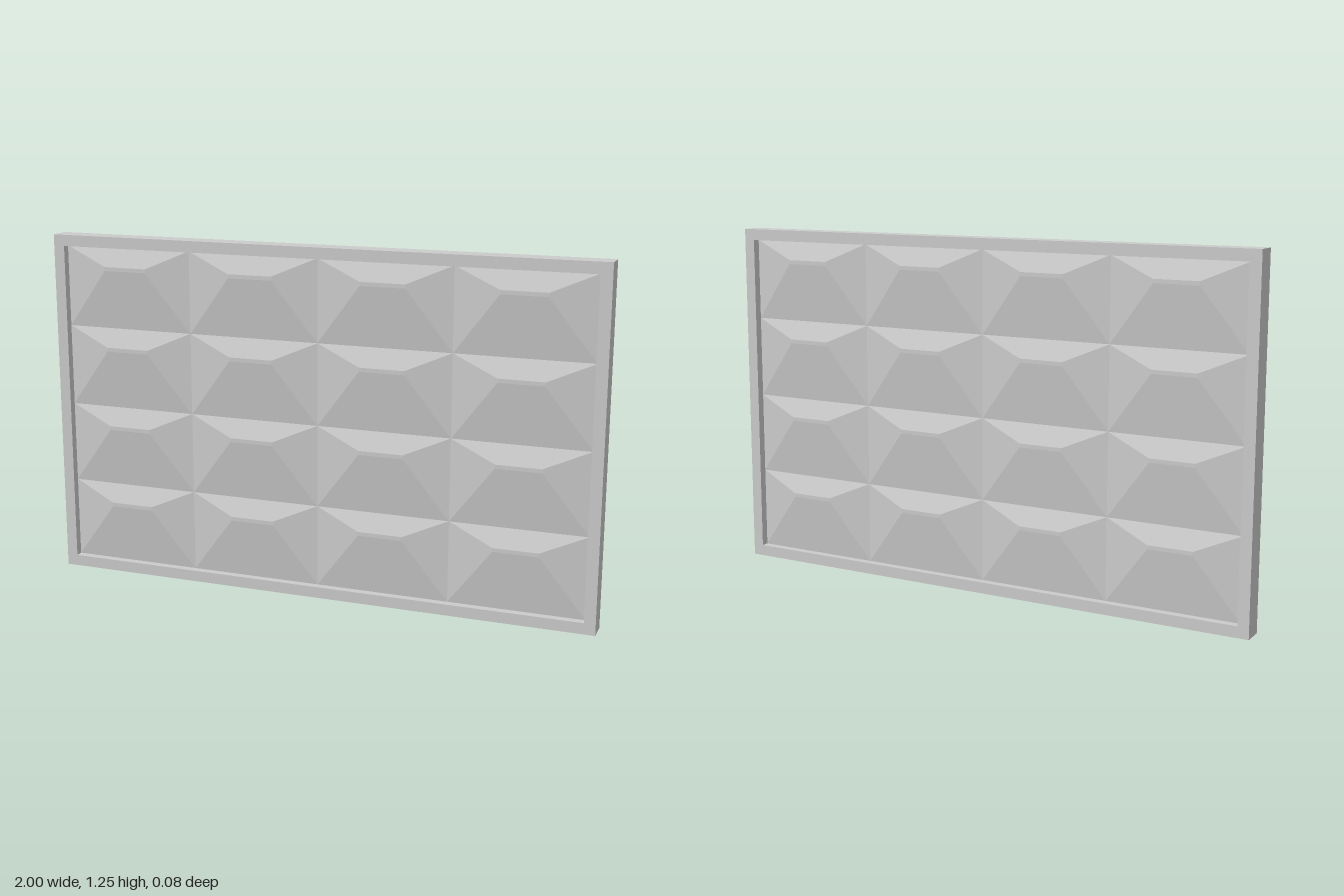
import * as THREE from 'three';

const W = 2, H = 1.25, DEPTH = 0.076, RIM = 0.04;
const COLS = 4, ROWS = 4;
const BASE_Z = 0.01, PEAK_Z = 0.036;

const material = new THREE.MeshStandardMaterial({ color: 0xcccccc, flatShading: true });

// Rectangular border with an open middle
function createFrame() {
  const rect = (P, x, y) => new P([
    new THREE.Vector2(-x, y), new THREE.Vector2(x, y),
    new THREE.Vector2(x, H - y), new THREE.Vector2(-x, H - y),
  ]);
  const shape = rect(THREE.Shape, W / 2, 0);
  shape.holes.push(rect(THREE.Path, W / 2 - RIM, RIM));
  const geometry = new THREE.ExtrudeGeometry(shape, { depth: DEPTH, bevelEnabled: false });
  geometry.translate(0, 0, -DEPTH / 2);
  const frame = new THREE.Mesh(geometry, material);
  frame.name = 'frame';
  return frame;
}

// Grid of raised facets, each a rectangle rising to a small high-set plateau
function createFacetGeometry() {
  const w = (W - 2 * RIM) / COLS, h = (H - 2 * RIM) / ROWS;
  const half = 0.08, top = h - 0.068, bottom = h - 0.082;
  const positions = [], indices = [];
  const quad = (a, b, c, d) => indices.push(a, b, c, a, c, d);
  for (let r = 0; r < ROWS; r++) {
    for (let c = 0; c < COLS; c++) {
      const x = -W / 2 + RIM + c * w, y = RIM + r * h, m = x + w / 2;
      const i = positions.length / 3;
      positions.push(
        x, y, BASE_Z, x + w, y, BASE_Z, x + w, y + h, BASE_Z, x, y + h, BASE_Z,
        m - half, y + bottom, PEAK_Z, m + half, y + bottom, PEAK_Z,
        m + half, y + top, PEAK_Z, m - half, y + top, PEAK_Z,
      );
      for (let k = 0; k < 4; k++) {
        const n = (k + 1) % 4;
        quad(i + k, i + n, i + 4 + n, i + 4 + k);
      }
      quad(i + 4, i + 5, i + 6, i + 7);
    }
  }
  const geometry = new THREE.BufferGeometry();
  geometry.setAttribute('position', new THREE.Float32BufferAttribute(positions, 3));
  geometry.setIndex(indices);
  const flat = geometry.toNonIndexed();
  flat.computeVertexNormals();
  return flat;
}

export function createModel() {
  const group = new THREE.Group();
  group.name = 'facetedPanel';
  group.add(createFrame());

  // The same faceted surface on both faces
  const facets = createFacetGeometry();
  ['frontFacets', 'backFacets'].forEach((name, k) => {
    const mesh = new THREE.Mesh(facets, material);
    mesh.name = name;
    mesh.rotation.y = k * Math.PI;
    group.add(mesh);
  });
  return group;
}
